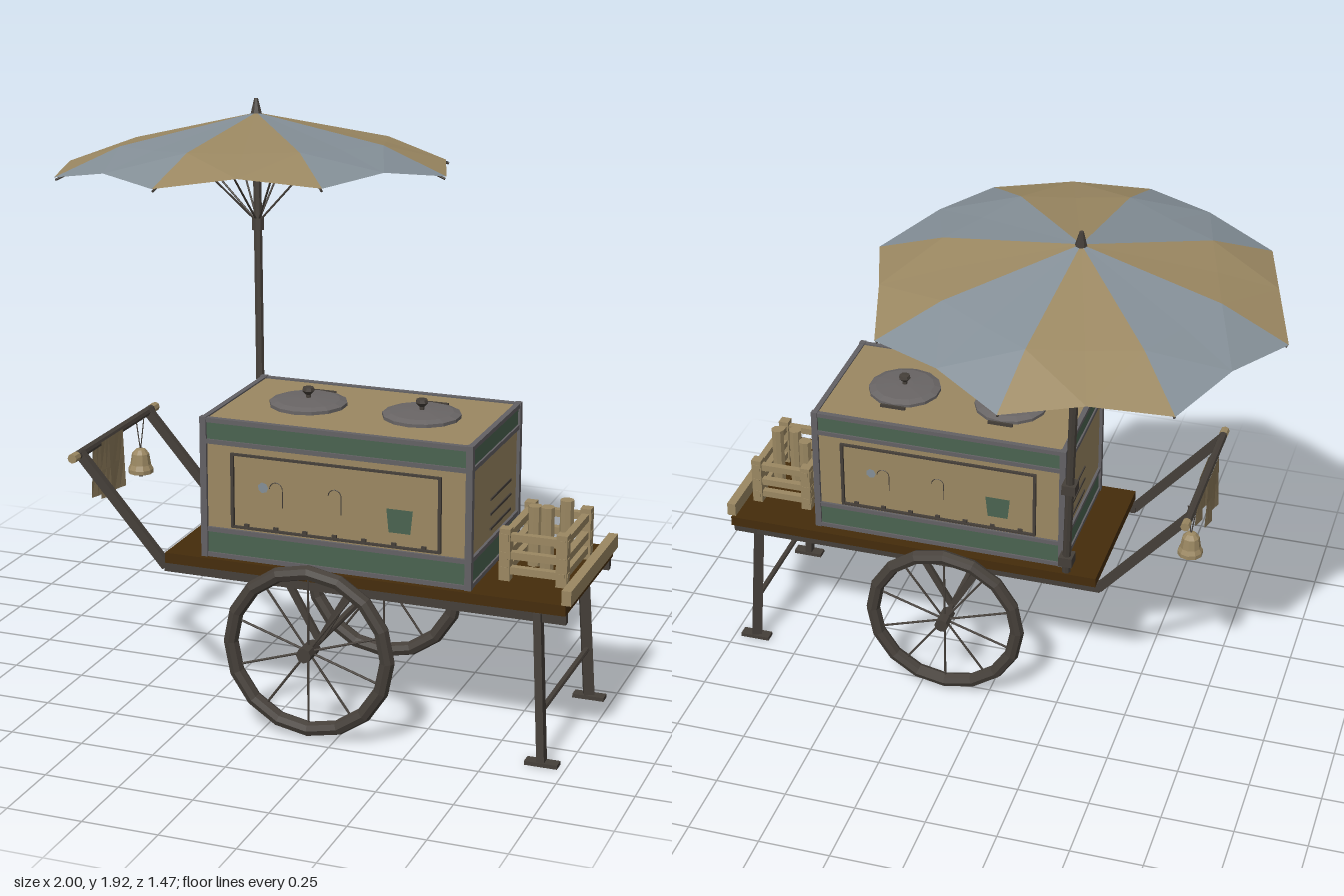
import * as THREE from 'three';

const mat = (name, color, side = THREE.FrontSide) => {
  const m = new THREE.MeshStandardMaterial({ color, flatShading: true, side });
  m.name = name;
  return m;
};
const tan = mat('tan wood', 0x9b8862);
const brown = mat('dark wood', 0x452c0b);
const green = mat('faded green', 0x4a6350);
const blue = mat('grey blue cloth', 0x848f97);
const navy = mat('navy cloth', 0x35485a);
const iron = mat('dark iron', 0x453f39);
const trim = mat('grey trim', 0x636164);
const steel = mat('lid steel', 0x696565);
const linen = mat('linen', 0x8c7a5a, THREE.DoubleSide);

const UP = new THREE.Vector3(0, 1, 0);
const V = (p) => new THREE.Vector3(...p);

export function createModel() {
  const root = new THREE.Group();
  root.name = 'streetFoodCart';

  const add = (parent, name, geo, material, pos = [0, 0, 0]) => {
    const m = new THREE.Mesh(geo, material);
    m.name = name;
    m.position.set(...pos);
    parent.add(m);
    return m;
  };
  const group = (name, parent = root) => {
    const g = new THREE.Group();
    g.name = name;
    parent.add(g);
    return g;
  };
  // Box given by its minimum and maximum corners
  const box = (parent, name, material, x0, x1, y0, y1, z0, z1) =>
    add(parent, name, new THREE.BoxGeometry(x1 - x0, y1 - y0, z1 - z0), material,
      [(x0 + x1) / 2, (y0 + y1) / 2, (z0 + z1) / 2]);
  // Bar between two points: square when depth is given, otherwise round
  const bar = (parent, name, material, a, b, w, depth) => {
    const p = V(a), q = V(b), d = q.clone().sub(p), len = d.length();
    const geo = depth ? new THREE.BoxGeometry(w, len, depth) : new THREE.CylinderGeometry(w, w, len, 8);
    const m = add(parent, name, geo, material, p.clone().add(q).multiplyScalar(0.5).toArray());
    m.quaternion.setFromUnitVectors(UP, d.normalize());
    return m;
  };

  // Deck and its frame
  const deck = group('deck');
  box(deck, 'deckBoard', brown, -0.37, 0.98, 0.505, 0.54, 0.04, 0.62);
  box(deck, 'endPlank', tan, 0.966, 0.997, 0.54, 0.588, 0.05, 0.62);
  for (const z of [0.06, 0.58]) box(deck, 'sideBeam', iron, -0.38, 0.978, 0.47, 0.507, z, z + 0.025);
  for (const x of [-0.3, 0.05, 0.27, 0.88]) box(deck, 'crossBeam', iron, x - 0.012, x + 0.012, 0.473, 0.505, 0.07, 0.6);

  // Splayed legs with feet and a stretcher
  const legs = group('legs');
  for (const [zt, zb] of [[0.6, 0.632], [0.075, 0.068]]) {
    bar(legs, 'leg', iron, [0.888, 0.5, zt], [0.92, 0.01, zb], 0.035, 0.025);
    box(legs, 'foot', iron, 0.868, 0.975, 0.005, 0.018, zb - 0.02, zb + 0.02);
  }
  bar(legs, 'stretcher', iron, [0.91, 0.18, 0.07], [0.91, 0.18, 0.62], 0.01);

  // Wheels, axle and axle struts
  const running = group('runningGear');
  bar(running, 'axle', iron, [0.16, 0.3, -0.05], [0.16, 0.3, 0.73], 0.011);
  for (const z of [0.695, -0.02]) {
    const wheel = group('wheel', running);
    wheel.position.set(0.16, 0.3, z);
    add(wheel, 'tyre', new THREE.TorusGeometry(0.267, 0.025, 8, 16), iron);
    bar(wheel, 'hub', iron, [0, 0, -0.043], [0, 0, 0.043], 0.025);
    for (let i = 0; i < 10; i++) {
      const a = (i / 10) * Math.PI * 2 - Math.PI / 2;
      bar(wheel, 'spoke', iron, [0, 0, 0], [0.25 * Math.cos(a), 0.25 * Math.sin(a), 0], 0.004);
    }
  }
  for (const z of [0.07, 0.595]) {
    for (const x of [0.05, 0.27]) bar(running, 'axleStrut', iron, [x, 0.49, z], [0.16, 0.3, z], 0.022, 0.016);
  }

  // Cabinet: wooden core, green bands and metal edging
  const cab = group('cabinet');
  const [x0, x1, z0, z1] = [-0.236, 0.659, 0.086, 0.594];
  box(cab, 'cabinetBody', tan, x0, x1, 0.54, 1.005, z0, z1);
  for (const [a, b] of [[0.55, 0.628], [0.936, 0.994]])
    box(cab, 'greenBand', green, x0 - 0.003, x1 + 0.003, a, b, z0 - 0.003, z1 + 0.003);
  for (const x of [x0, x1]) for (const z of [z0, z1])
    box(cab, 'cornerEdge', trim, x - 0.011, x + 0.011, 0.54, 1.012, z - 0.011, z + 0.011);
  for (const y of [0.547, 0.633, 0.93, 1.001]) {
    for (const z of [z0, z1]) box(cab, 'longEdge', trim, x0, x1, y - 0.006, y + 0.009, z - 0.009, z + 0.009);
    for (const x of [x0, x1]) box(cab, 'shortEdge', trim, x - 0.009, x + 0.009, y - 0.006, y + 0.009, z0, z1);
  }

  // Framed panels on the front and back
  for (const [z, s] of [[z1, 1], [z0, -1]]) {
    const panel = group('framedPanel', cab);
    panel.position.set(0.213, 0.775, z + s * 0.004);
    panel.rotation.y = s > 0 ? 0 : Math.PI;
    for (const e of [-1, 1]) {
      box(panel, 'panelRail', iron, -0.355, 0.355, e * 0.122 - 0.0035, e * 0.122 + 0.0035, -0.005, 0.006);
      box(panel, 'panelStile', iron, e * 0.35 - 0.005, e * 0.35 + 0.005, -0.125, 0.125, -0.005, 0.006);
    }
    for (let i = 0; i < 7; i++)
      box(panel, 'rivet', iron, -0.31 + i * 0.1, -0.294 + i * 0.1, -0.119, -0.109, -0.004, 0.003);
    // Painted cup, faded patch and thin hooks
    const cup = new THREE.Shape([[-0.036, -0.039], [0.036, -0.039], [0.044, 0.039], [-0.044, 0.039]]
      .map(([x, y]) => new THREE.Vector2(x, y)));
    add(panel, 'paintedCup', new THREE.ShapeGeometry(cup), green, [0.217, -0.037, -0.001]);
    add(panel, 'paintedPatch', new THREE.CircleGeometry(0.018, 7), blue, [-0.245, 0.02, -0.001]);
    for (const x of [-0.2, 0]) {
      add(panel, 'hookCurve', new THREE.TorusGeometry(0.022, 0.0015, 4, 8, Math.PI), iron, [x, 0.02, 0]);
      bar(panel, 'hookStem', iron, [x + 0.022, 0.02, 0], [x + 0.022, -0.04, 0], 0.0015);
    }
  }
  // Vent slots on both ends
  for (const x of [x0, x1]) for (const y of [0.67, 0.72, 0.77])
    box(cab, 'ventSlot', iron, x - 0.004, x + 0.004, y - 0.004, y + 0.004, 0.16, 0.38);

  // Pot lids
  const lidProfile = [[0, 0], [0.128, 0], [0.128, 0.012], [0.104, 0.02], [0.03, 0.025], [0, 0.025]];
  const knobProfile = [[0, 0], [0.009, 0], [0.009, 0.012], [0.021, 0.025], [0.018, 0.036], [0, 0.038]];
  const bellProfile = [[0, 0.01], [0.044, 0], [0.044, 0.014], [0.036, 0.03], [0.03, 0.068], [0.017, 0.083], [0, 0.088]];
  const lathe = (pts, n) => new THREE.LatheGeometry(pts.map(([x, y]) => new THREE.Vector2(x, y)), n);
  for (const x of [0.02, 0.41]) {
    const lid = group('potLid', cab);
    lid.position.set(x, 1.004, 0.33);
    add(lid, 'lidPlate', lathe(lidProfile, 14), steel);
    add(lid, 'lidKnob', lathe(knobProfile, 8), iron, [0, 0.023, 0]);
    box(lid, 'lidHinge', iron, -0.045, 0.045, 0, 0.012, -0.14, -0.132);
  }

  // Slatted crate holding three rods
  const crate = group('crate');
  for (const x of [0.738, 0.924]) for (const z of [0.18, 0.458])
    box(crate, 'cratePost', tan, x - 0.018, x + 0.018, 0.54, 0.712, z - 0.018, z + 0.018);
  for (const y of [0.562, 0.612, 0.672]) {
    for (const z of [0.18, 0.458]) box(crate, 'crateLongSlat', tan, 0.718, 0.944, y, y + 0.024, z - 0.012, z + 0.012);
    for (const x of [0.738, 0.924]) box(crate, 'crateEndSlat', tan, x - 0.012, x + 0.012, y, y + 0.024, 0.16, 0.478);
  }
  for (const [x, z, h] of [[0.786, 0.3, 0.74], [0.838, 0.34, 0.755], [0.89, 0.3, 0.772]])
    bar(crate, 'rod', tan, [x, 0.54, z], [x, h, z], 0.023);

  // Push handle with a cloth and a bell
  const handle = group('pushHandle');
  for (const z of [0.072, 0.595]) bar(handle, 'handleArm', iron, [-0.375, 0.485, z], [-0.683, 0.84, z], 0.03, 0.025);
  bar(handle, 'gripBar', iron, [-0.68, 0.835, 0.03], [-0.68, 0.835, 0.63], 0.015);
  for (const z of [0.01, 0.62]) bar(handle, 'gripEnd', tan, [-0.68, 0.835, z], [-0.68, 0.835, z + 0.035], 0.016);
  const cloth = new THREE.PlaneGeometry(0.16, 0.2, 6, 2).rotateY(Math.PI / 2);
  const cp = cloth.attributes.position;
  for (let i = 0; i < cp.count; i++) cp.setX(i, 0.008 * Math.sin(cp.getZ(i) * 55) * (0.1 - cp.getY(i)) * 5);
  for (const x of [-0.697, -0.663]) add(handle, 'cloth', cloth, linen, [x, 0.74, 0.39]);
  for (const x of [-0.69, -0.66]) bar(handle, 'bellCord', iron, [x, 0.83, 0.15], [-0.675, 0.715, 0.15], 0.002);
  add(handle, 'bell', lathe(bellProfile, 10), tan, [-0.675, 0.637, 0.15]);
  bar(handle, 'bellClapper', iron, [-0.675, 0.65, 0.15], [-0.675, 0.622, 0.15], 0.007);

  // Leaning umbrella pole and clamps
  const base = [-0.26, 0.54, 0.058], apex = [-0.318, 1.88, -0.06];
  const umbrella = group('umbrella');
  bar(umbrella, 'pole', iron, base, apex, 0.015);
  const along = (t) => V(base).lerp(V(apex), t);
  for (const t of [0.04, 0.275]) {
    const c = along(t);
    box(umbrella, 'poleClamp', iron, c.x - 0.024, c.x + 0.024, c.y - 0.018, c.y + 0.018, c.z - 0.024, c.z + 0.03);
  }

  // Canopy of eight alternating panels, tilted with the pole
  const top = group('canopy', umbrella);
  top.position.set(...apex);
  top.quaternion.setFromUnitVectors(UP, V(apex).sub(V(base)).normalize());
  const polar = (deg, r, y) => {
    const a = THREE.MathUtils.degToRad(deg);
    return [r * Math.cos(a), y, r * Math.sin(a)];
  };
  const surface = (tris, flip) => {
    const g = new THREE.BufferGeometry();
    const pts = tris.flatMap(([a, b, c]) => (flip ? [a, c, b] : [a, b, c])).flat();
    g.setAttribute('position', new THREE.Float32BufferAttribute(pts, 3));
    g.computeVertexNormals();
    return g;
  };
  for (let k = 0; k < 8; k++) {
    const d = 5.5 + 45 * k, A = [0, 0, 0];
    const B1 = polar(d, 0.47, -0.096), B2 = polar(d + 45, 0.47, -0.096), M = polar(d + 22.5, 0.435, -0.1);
    const T1 = polar(d, 0.695, -0.19), T2 = polar(d + 45, 0.695, -0.19), E = polar(d + 22.5, 0.635, -0.16);
    const tris = [[A, B1, M], [A, M, B2], [B1, T1, E], [B1, E, M], [M, E, B2], [B2, E, T2]];
    add(top, 'canopyPanel', surface(tris, true), k % 2 ? tan : blue);
    add(top, 'canopyLining', surface(tris, false), k % 2 ? tan : navy, [0, -0.004, 0]);
    // Rib and its strut
    bar(top, 'innerRib', iron, [0, -0.01, 0], polar(d, 0.47, -0.106), 0.004);
    bar(top, 'outerRib', iron, polar(d, 0.47, -0.106), polar(d, 0.69, -0.198), 0.004);
    bar(top, 'strut', iron, [0, -0.37, 0], polar(d, 0.3, -0.068), 0.0035);
  }
  bar(top, 'slider', iron, [0, -0.395, 0], [0, -0.355, 0], 0.022);
  add(top, 'finial', new THREE.CylinderGeometry(0.007, 0.02, 0.05, 8), iron, [0, 0.022, 0]);

  return root;
}
